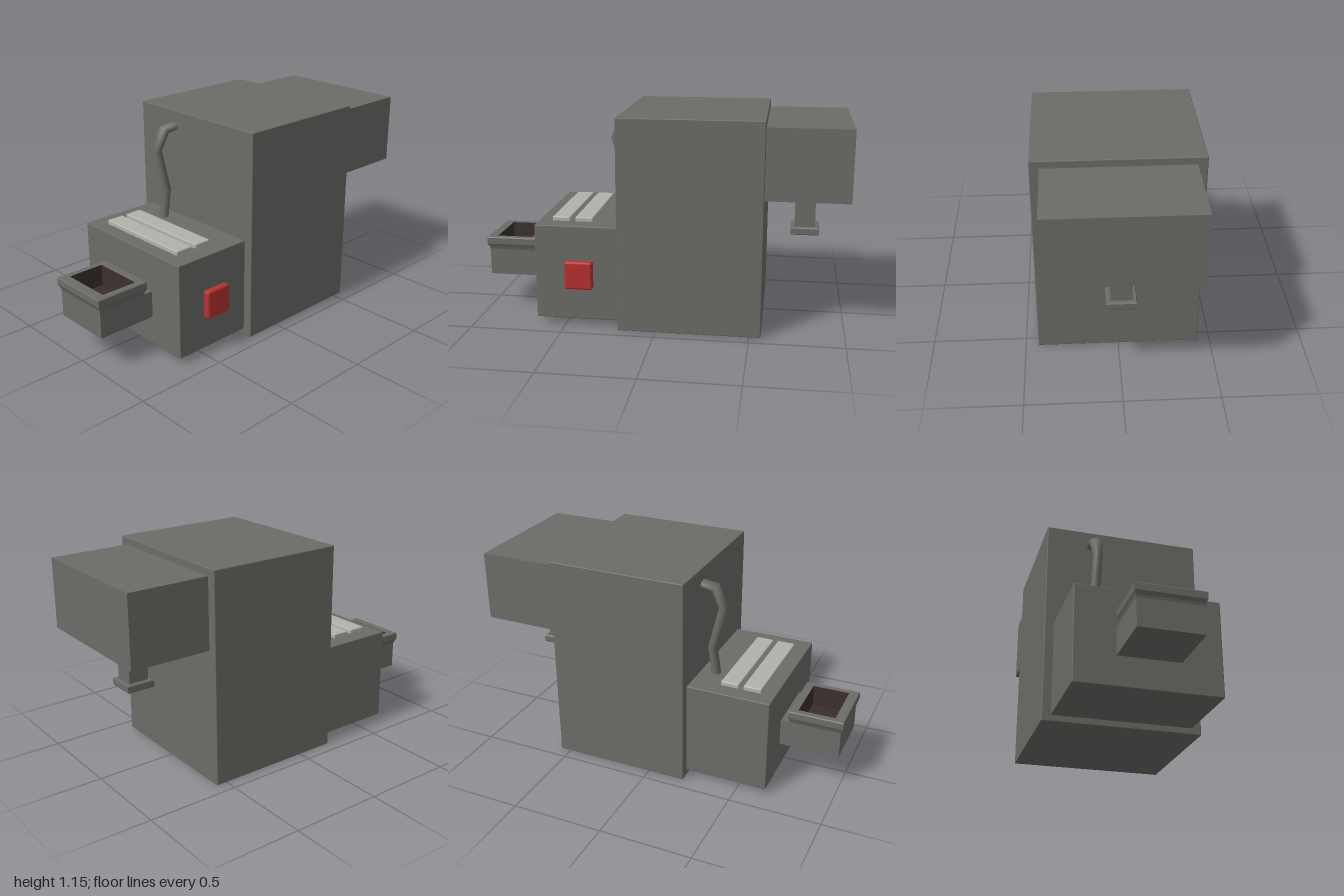
import * as THREE from 'three';
import { RoundedBoxGeometry } from 'three/addons/geometries/RoundedBoxGeometry.js';

const material = (name, color) => {
  const m = new THREE.MeshStandardMaterial({ color });
  m.name = name;
  return m;
};

export function createModel() {
  const model = new THREE.Group();
  model.name = 'machine';
  const grey = material('grey metal', 0x6b6b67);
  const dark = material('dark interior', 0x3a2e2e);
  const light = material('pale metal', 0xb2b2ac);
  const red = material('red button', 0xb83030);

  const add = (name, geometry, mat) => {
    const mesh = new THREE.Mesh(geometry, mat);
    mesh.name = name;
    model.add(mesh);
    return mesh;
  };

  // Softly bevelled box given by its extents
  const box = (name, [x0, x1], [y0, y1], [z0, z1], mat, bevel = 0.005) => {
    const g = new RoundedBoxGeometry(x1 - x0, y1 - y0, z1 - z0, 2, bevel);
    g.translate((x0 + x1) / 2, (y0 + y1) / 2, (z0 + z1) / 2);
    return add(name, g, mat);
  };

  // Flat-faced loft through rectangular rings [halfWidth, y, zBack, zFront]
  const loft = (name, rings, mat, capStart = false, capEnd = false) => {
    const loops = rings.map(([w, y, z0, z1]) => [[-w, y, z1], [w, y, z1], [w, y, z0], [-w, y, z0]]);
    const pos = [];
    const quad = (a, b, c, d) => pos.push(...a, ...b, ...c, ...a, ...c, ...d);
    for (let r = 0; r < loops.length - 1; r++) {
      const a = loops[r], b = loops[r + 1];
      for (let i = 0; i < 4; i++) {
        const j = (i + 1) % 4;
        quad(a[i], a[j], b[j], b[i]);
      }
    }
    if (capStart) quad(...[...loops[0]].reverse());
    if (capEnd) quad(...loops[loops.length - 1]);
    const g = new THREE.BufferGeometry();
    g.setAttribute('position', new THREE.Float32BufferAttribute(pos, 3));
    g.computeVertexNormals();
    return add(name, g, mat);
  };

  // Main housing and lower front housing
  box('mainBody', [-0.432, 0.432], [0, 1.15], [-0.56, 0.205], grey);
  box('frontHousing', [-0.382, 0.382], [0.035, 0.557], [0.19, 0.66], grey);

  // Rear head, open underneath with a shallow dark recess
  loft('rearHead', [
    [0.33, 0.73, -0.95, -0.61], [0.382, 0.73, -1, -0.55], [0.382, 1.11, -1, -0.55],
  ], grey, false, true);
  loft('rearHeadRecess', [
    [0.33, 0.785, -0.95, -0.61], [0.33, 0.73, -0.95, -0.61],
  ], dark, true);

  // Square nozzle with a flanged hollow tip
  loft('nozzle', [
    [0.045, 0.47, -0.82, -0.73], [0.075, 0.47, -0.85, -0.7], [0.077, 0.475, -0.852, -0.698],
    [0.077, 0.505, -0.852, -0.698], [0.072, 0.511, -0.847, -0.703],
    [0.055, 0.511, -0.83, -0.72], [0.055, 0.785, -0.83, -0.72],
  ], grey);
  loft('nozzleBore', [
    [0.045, 0.56, -0.82, -0.73], [0.045, 0.47, -0.82, -0.73],
  ], dark, true);

  // Front hopper with a flared rim and dark inside
  loft('hopper', [
    [0.166, 0.195, 0.65, 0.987], [0.166, 0.34, 0.65, 0.987], [0.166, 0.343, 0.712, 0.987],
    [0.17, 0.357, 0.708, 0.99], [0.178, 0.375, 0.7, 1], [0.178, 0.41, 0.7, 1],
    [0.174, 0.415, 0.704, 0.996], [0.142, 0.415, 0.747, 0.947],
  ], grey, true);
  loft('hopperInside', [
    [0.142, 0.415, 0.747, 0.947], [0.138, 0.3, 0.751, 0.943],
  ], dark, false, true);

  // Pale bars on the front housing
  for (const z of [0.36, 0.485]) {
    box('topBar', [-0.294, 0.283], [0.545, 0.581], [z, z + 0.1], light, 0.008);
  }

  // Side button
  box('sideButton', [0.365, 0.416], [0.212, 0.367], [0.343, 0.495], red, 0.012);

  // Bent lever: elliptical sections [y, z, x radius, in-plane radius] along a mitred path
  const path = [
    [0.54, 0.29, 0.029, 0.026], [0.71, 0.265, 0.028, 0.025], [0.945, 0.322, 0.027, 0.025],
    [1.05, 0.273, 0.038, 0.027], [1.062, 0.19, 0.036, 0.022],
  ];
  const sides = 12, pos = [], index = [];
  path.forEach(([y, z, rx, rp], k) => {
    const p = path[Math.max(k - 1, 0)], n = path[Math.min(k + 1, path.length - 1)];
    const dir = new THREE.Vector2(n[0] - p[0], n[1] - p[1]).normalize();
    for (let i = 0; i < sides; i++) {
      const a = (i / sides) * Math.PI * 2, s = Math.sin(a) * rp;
      pos.push(-0.173 + Math.cos(a) * rx, y - dir.y * s, z + dir.x * s);
      if (k < path.length - 1) {
        const b = k * sides, j = (i + 1) % sides;
        index.push(b + i, b + sides + i, b + j, b + j, b + sides + i, b + sides + j);
      }
    }
  });
  const lever = new THREE.BufferGeometry();
  lever.setAttribute('position', new THREE.Float32BufferAttribute(pos, 3));
  // Reverse the winding so the faces point outwards
  lever.setIndex(index.reverse());
  lever.computeVertexNormals();
  // Pick the outward orientation from the first vertex, which lies on the +x side
  if (lever.attributes.normal.getX(0) < 0) {
    lever.setIndex(index.reverse());
    lever.computeVertexNormals();
  }
  add('lever', lever, grey);

  return model;
}
